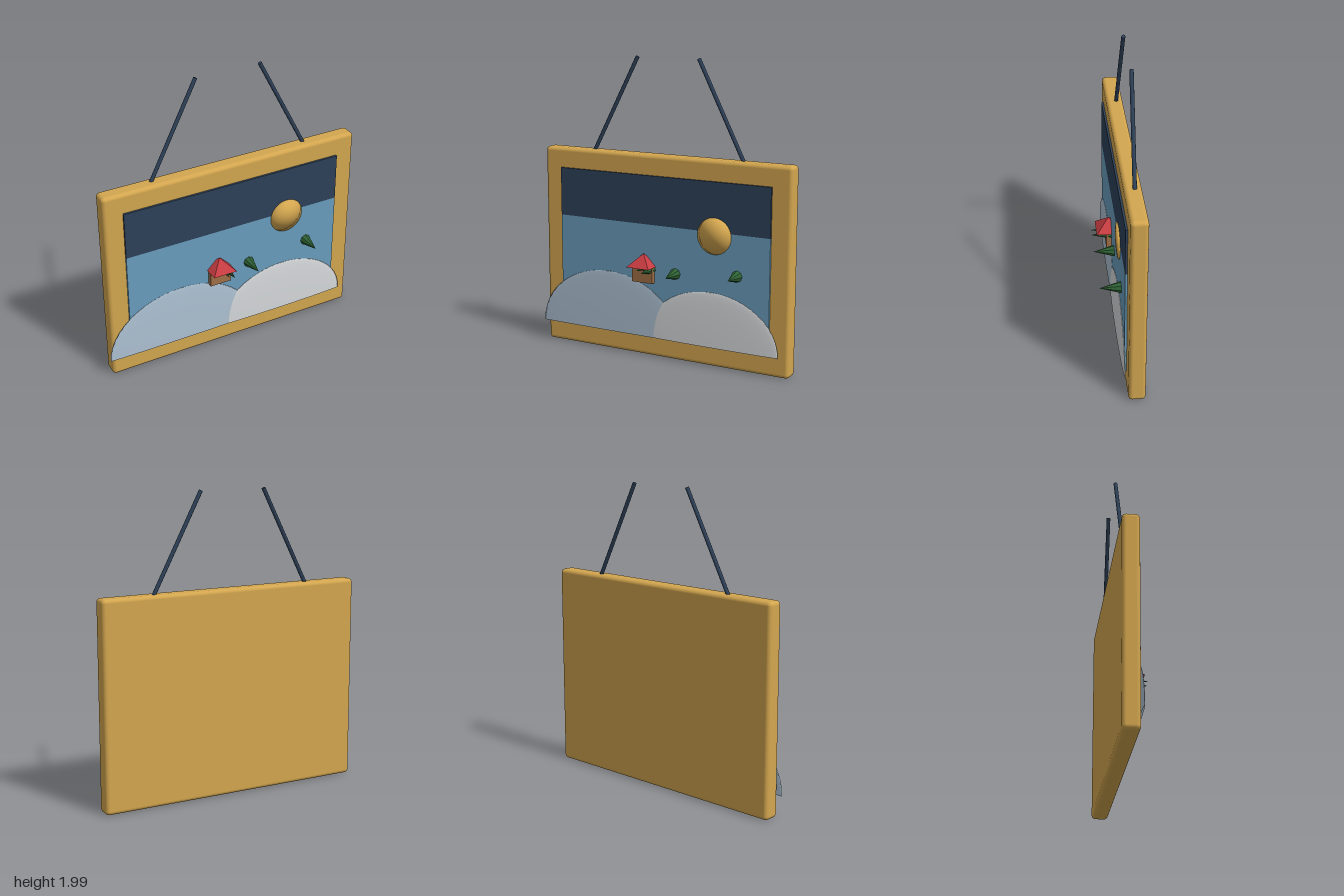
import * as THREE from 'three';
import { RoundedBoxGeometry } from 'three/addons/geometries/RoundedBoxGeometry.js';

const material = (name, color, options = {}) => {
  const m = new THREE.MeshStandardMaterial({ color, ...options });
  m.name = name;
  return m;
};

export function createModel() {
  const group = new THREE.Group();
  const gold = material('gold', 0xd3a64f);
  const navy = material('navy', 0x2e4159);
  const sky = material('sky blue', 0x699dbd);
  const mist = material('misty blue', 0xadc1d3, { side: THREE.DoubleSide });
  const snow = material('snow white', 0xd5d8da, { side: THREE.DoubleSide });
  const brown = material('wood brown', 0xa06f46);
  const red = material('roof red', 0xc63c42, { flatShading: true });
  const green = material('pine green', 0x2f6335, { flatShading: true });

  const add = (name, geometry, mat, x, y, z) => {
    const mesh = new THREE.Mesh(geometry, mat);
    mesh.name = name;
    mesh.position.set(x, y, z);
    group.add(mesh);
    return mesh;
  };

  // Solid backing frame
  add('frame', new RoundedBoxGeometry(1.815, 1.36, 0.11, 3, 0.026), gold, 0.007, 0.69, -0.075);

  // Two-tone sky panels
  add('lowerSky', new THREE.BoxGeometry(1.55, 0.765, 0.022), sky, 0.006, 0.5275, -0.017);
  add('upperSky', new THREE.BoxGeometry(1.55, 0.325, 0.022), navy, 0.006, 1.0725, -0.017);

  // Hills: upper half ellipsoids, almost flat
  const hill = (name, mat, x, rx, ry, rz) => {
    const dome = new THREE.SphereGeometry(1, 32, 12, 0, Math.PI * 2, 0, Math.PI / 2);
    dome.scale(rx, ry, rz);
    add(name, dome, mat, x, 0.145, -0.004);
  };
  hill('leftHill', mist, -0.395, 0.527, 0.415, 0.009);
  hill('rightHill', snow, 0.37, 0.477, 0.367, 0.014);

  // Sun: pressed flat while keeping the round sphere normals
  const sun = new THREE.SphereGeometry(0.12, 32, 20);
  const p = sun.attributes.position;
  for (let i = 0; i < p.count; i++) p.setZ(i, p.getZ(i) * 0.1);
  add('sun', sun, gold, 0.395, 0.885, -0.001);

  // House with a pyramid roof
  add('houseWalls', new THREE.BoxGeometry(0.152, 0.11, 0.06), brown, -0.117, 0.577, 0);
  const roof = new THREE.ConeGeometry(0.084 * Math.SQRT2, 0.085, 4);
  roof.rotateY(Math.PI / 4);
  add('houseRoof', roof, red, -0.117, 0.6725, 0.01);

  // Pine trees pointing out of the picture
  const trees = [
    [0.112, 0.602, 0.038], [0.555, 0.641, 0.038],
    [-0.104, 0.625, 0.026], [-0.066, 0.611, 0.032],
  ];
  for (const [x, y, r] of trees) {
    const cone = new THREE.ConeGeometry(r, 0.135, 8);
    cone.rotateX(Math.PI / 2);
    add('tree', cone, green, x, y, 0.062);
  }

  // Hanging cords
  const cord = (name, from, to) => {
    const a = new THREE.Vector3(...from), b = new THREE.Vector3(...to);
    const dir = b.clone().sub(a);
    const mid = a.clone().add(b).multiplyScalar(0.5);
    const mesh = add(name, new THREE.CylinderGeometry(0.013, 0.013, dir.length(), 10), navy, mid.x, mid.y, mid.z);
    mesh.quaternion.setFromUnitVectors(new THREE.Vector3(0, 1, 0), dir.normalize());
  };
  cord('rightCord', [-0.55, 1.35, -0.085], [-0.217, 1.994, -0.096]);
  cord('leftCord', [0.562, 1.35, -0.085], [0.23, 1.994, -0.096]);

  return group;
}
